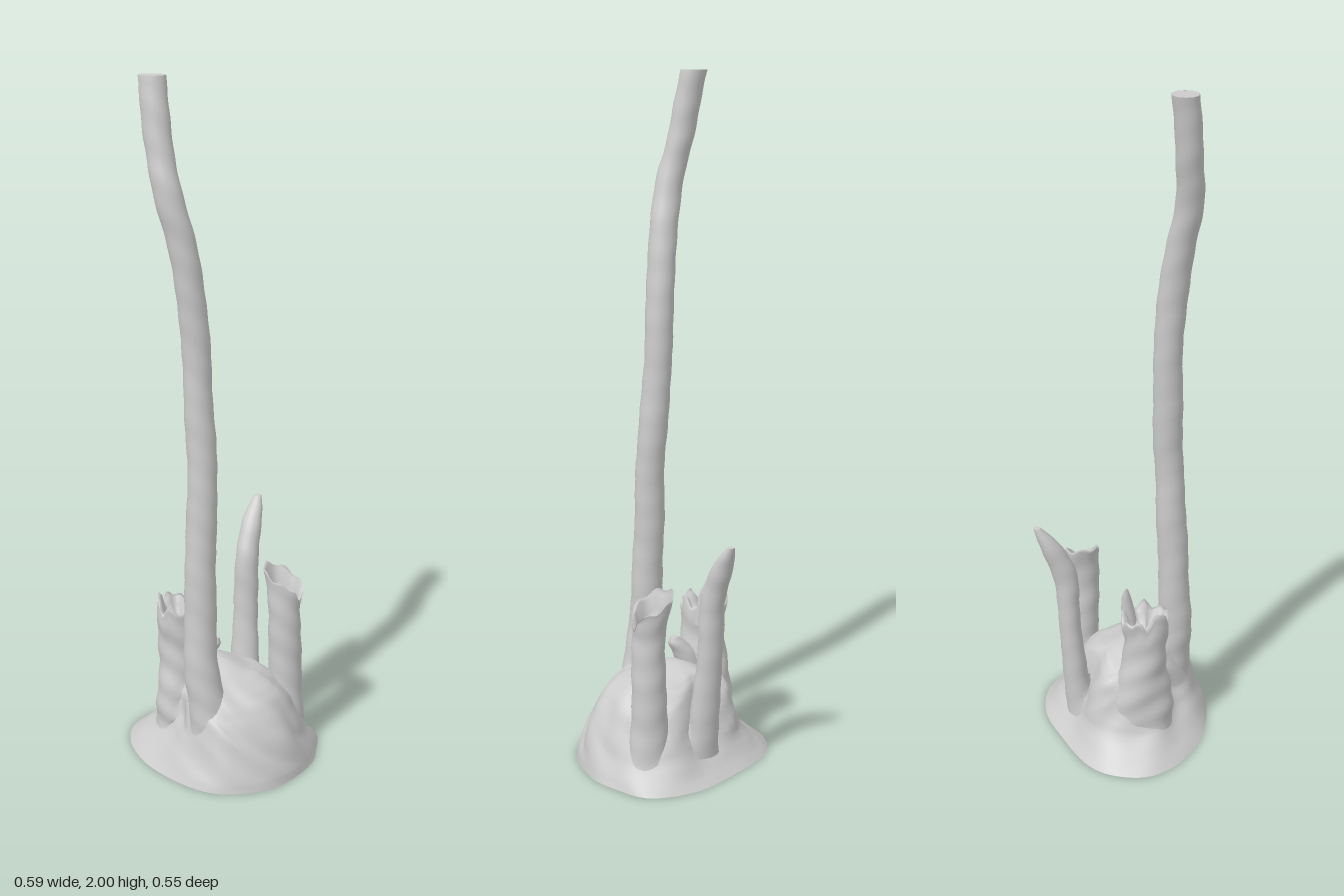
import * as THREE from 'three';

const material = new THREE.MeshStandardMaterial({ color: 0xcccccc, side: THREE.DoubleSide });

// smooth, repeatable bark unevenness, about -1..1
function bumps(x, y, z) {
  return 0.4 * Math.sin(31 * x + 17 * y + 3) + 0.35 * Math.sin(43 * z - 23 * y + 1)
    + 0.3 * Math.sin(71 * y + 37 * x - 29 * z);
}

// rounded bulge around one angle
const bulge = (a, at, sharpness) => Math.exp(-sharpness * (1 - Math.cos(a - at)));

// skin a list of closed rings, leaving out faces that are wholly buried
function skin(name, rings) {
  const n = rings[0].length;
  const points = rings.flat();
  const index = [];
  const addFace = (...corners) => {
    if (!corners.every((c) => points[c].buried)) index.push(...corners);
  };
  for (let j = 0; j < rings.length - 1; j++) {
    for (let i = 0; i < n; i++) {
      const a = j * n + i, b = j * n + (i + 1) % n;
      addFace(a, a + n, b + n);
      addFace(a, b + n, b);
    }
  }
  const geometry = new THREE.BufferGeometry().setFromPoints(points);
  geometry.setIndex(index);
  geometry.computeVertexNormals();
  const mesh = new THREE.Mesh(geometry, material);
  mesh.name = name;
  return mesh;
}

// root mound, open below: one ground outline, shrunk and shifted as it rises
function createMound() {
  const outline = new THREE.CatmullRomCurve3([
    [0.295, 0], [0.255, 0.16], [0.17, 0.245], [0.07, 0.275], [-0.1, 0.23], [-0.2, 0.165],
    [-0.27, 0.08], [-0.295, -0.01], [-0.26, -0.11], [-0.2, -0.165], [-0.06, -0.21],
    [0.1, -0.235], [0.235, -0.185], [0.28, -0.08],
  ].map(([x, z]) => new THREE.Vector3(x, 0, z)), true);
  // [height, min x, max x, min z, max z]
  const levels = [
    [0, -0.295, 0.295, -0.235, 0.275], [0.03, -0.26, 0.285, -0.205, 0.265],
    [0.08, -0.205, 0.262, -0.167, 0.245], [0.13, -0.18, 0.24, -0.145, 0.228],
    [0.18, -0.165, 0.215, -0.13, 0.207], [0.22, -0.155, 0.19, -0.115, 0.183],
    [0.25, -0.135, 0.16, -0.1, 0.155], [0.275, -0.1, 0.12, -0.075, 0.115],
    [0.285, -0.04, 0.06, -0.03, 0.06], [0.285, 0.009, 0.011, 0.014, 0.016],
  ];
  const sides = 72, perLevel = 3, rings = [];
  for (let j = 0; j <= (levels.length - 1) * perLevel; j++) {
    const k = Math.min(Math.floor(j / perLevel), levels.length - 2);
    const f = j / perLevel - k;
    const [y, x0, x1, z0, z1] = levels[k].map((v, i) => THREE.MathUtils.lerp(v, levels[k + 1][i], f));
    const ring = [];
    for (let i = 0; i < sides; i++) {
      const p = outline.getPoint(i / sides);
      const a = Math.atan2(p.z, p.x);
      // root ridges, the low front corner and folds all fade out at the ground line
      const ridges = 0.06 * bulge(a, 0.25, 40) + 0.06 * bulge(a, -1.05, 40) + 0.17 * bulge(a, -2.35, 15)
        - 0.25 * bulge(a, 2.4, 8) - 0.05 * bulge(a, -1.75, 40);
      const fold = 1 + Math.min(y * 8, 1) * (ridges + 0.035 * bumps(p.x, y, p.z));
      const x = (x0 + x1) / 2 + p.x * ((x1 - x0) / 0.59) * fold;
      const z = (z0 + z1) / 2 + (p.z - 0.02) * ((z1 - z0) / 0.51) * fold;
      ring.push(new THREE.Vector3(x, y + Math.min(y, 0.12) * 0.12 * bumps(x, y, z), z));
    }
    rings.push(ring);
  }
  return skin('rootMound', rings);
}

export function createModel() {
  const group = new THREE.Group();
  group.name = 'treeStump';
  const mound = createMound();
  group.add(mound);

  // lift buried points to just under the mound surface, so its hollow underside stays clear
  const ray = new THREE.Raycaster();
  const down = new THREE.Vector3(0, -1, 0);
  function settle(p) {
    if (p.y > 0.32) return p;
    ray.set(new THREE.Vector3(p.x, 1, p.z), down);
    const hit = ray.intersectObject(mound)[0];
    if (hit && p.y < hit.point.y - 0.006) {
      p.y = hit.point.y - 0.006;
      p.buried = true;
    }
    return p;
  }

  // stem through sections [x, y, z, radiusX, radiusZ]; rim(angle) lifts the broken top,
  // hollow is the depth of the rotted core (0 gives a flat cut)
  function addStem(name, sections, { steps = 30, sides = 20, rough = 0.08, rim = () => 0, hollow = 0 } = {}) {
    const centre = new THREE.CatmullRomCurve3(sections.map((s) => new THREE.Vector3(s[0], s[1], s[2])));
    const radius = new THREE.CatmullRomCurve3(sections.map((s) => new THREE.Vector3(s[3], s[4], 0)));
    const rings = [];
    const addRing = (t, scale, lift, drop) => {
      const c = centre.getPoint(t), r = radius.getPoint(t), ring = [];
      for (let i = 0; i < sides; i++) {
        const a = (i / sides) * Math.PI * 2, dx = Math.cos(a), dz = Math.sin(a);
        const k = scale * (1 + rough * bumps(c.x + r.x * dx, c.y, c.z + r.y * dz));
        ring.push(settle(new THREE.Vector3(c.x + r.x * k * dx, c.y + rim(a) * lift - drop, c.z + r.y * k * dz)));
      }
      rings.push(ring);
    };
    for (let j = 0; j <= steps; j++) addRing(j / steps, 1, Math.pow(j / steps, 6), 0);
    if (hollow) {
      addRing(1, 0.84, 0.9, 0.005);
      addRing(1, 0.72, 0.6, hollow * 0.5);
      addRing(1, 0.5, 0.4, hollow * 0.9);
      addRing(1, 0.25, 0.2, hollow * 0.85);
      addRing(1, 0.01, 0, hollow);
    } else {
      addRing(1, 0.97, 1, 0);
      addRing(1, 0.01, 1, 0);
    }
    group.add(skin(name, rings));
  }

  // tall living trunk
  addStem('tallTrunk', [
    [0.036, 0.06, 0.15, 0.07, 0.062], [0.028, 0.2, 0.156, 0.056, 0.054], [0.01, 0.34, 0.157, 0.05, 0.05],
    [0, 0.6, 0.145, 0.045, 0.045], [0.002, 0.85, 0.132, 0.043, 0.043], [-0.012, 1.1, 0.12, 0.041, 0.042],
    [-0.028, 1.35, 0.12, 0.04, 0.042], [-0.05, 1.55, 0.138, 0.04, 0.04], [-0.086, 1.7, 0.152, 0.041, 0.039],
    [-0.117, 1.82, 0.142, 0.039, 0.037], [-0.146, 2, 0.12, 0.039, 0.035],
  ], { steps: 100, rough: 0.07 });

  // broad rotten stump with a ragged, hollow top
  addStem('brokenStump', [
    [-0.115, 0.04, 0.02, 0.085, 0.105], [-0.118, 0.15, 0.022, 0.073, 0.088], [-0.115, 0.26, 0.025, 0.068, 0.077],
    [-0.122, 0.36, 0.03, 0.064, 0.066], [-0.125, 0.455, 0.03, 0.067, 0.068],
  ], {
    steps: 28, sides: 36, rough: 0.11, hollow: 0.05,
    rim: (a) => 0.01 * Math.sin(5 * a + 1) + 0.01 * Math.sin(9 * a) + 0.03 * bulge(a, 2.7, 12),
  });
  addStem('stumpSplinter', [
    [-0.082, 0.4, -0.008, 0.022, 0.024], [-0.085, 0.47, -0.015, 0.016, 0.018],
    [-0.09, 0.51, -0.02, 0.012, 0.012], [-0.1, 0.54, -0.022, 0.003, 0.004],
  ], { steps: 10, sides: 10 });

  // small knob growing from the stump toward the middle
  addStem('knob', [
    [-0.07, 0.24, 0.02, 0.045, 0.045], [-0.045, 0.31, 0.022, 0.034, 0.034], [-0.018, 0.345, 0.025, 0.027, 0.024],
    [-0.008, 0.365, 0.025, 0.012, 0.012],
  ], { steps: 12, sides: 14 });

  // split side stump, its shell highest toward the middle
  addStem('splitStump', [
    [0.17, 0.03, -0.098, 0.068, 0.062], [0.166, 0.15, -0.098, 0.056, 0.053], [0.166, 0.3, -0.095, 0.049, 0.048],
    [0.167, 0.42, -0.094, 0.047, 0.047], [0.163, 0.49, -0.096, 0.052, 0.05], [0.157, 0.54, -0.099, 0.06, 0.054],
  ], {
    steps: 36, sides: 40, hollow: 0.09,
    rim: (a) => -0.03 * Math.cos(a) + 0.006 * Math.sin(6 * a) - 0.05 * bulge(a, 0.15, 30),
  });

  // pointed stub bending out at the back
  addStem('backStub', [
    [0.012, 0.06, -0.135, 0.056, 0.05], [0.01, 0.18, -0.152, 0.045, 0.038], [0.008, 0.32, -0.167, 0.04, 0.033],
    [0.006, 0.45, -0.174, 0.037, 0.034], [0.004, 0.55, -0.184, 0.035, 0.037], [0.003, 0.62, -0.208, 0.031, 0.034],
    [0.004, 0.68, -0.24, 0.024, 0.024], [0.005, 0.72, -0.264, 0.011, 0.01],
  ], { steps: 36 });

  return group;
}
